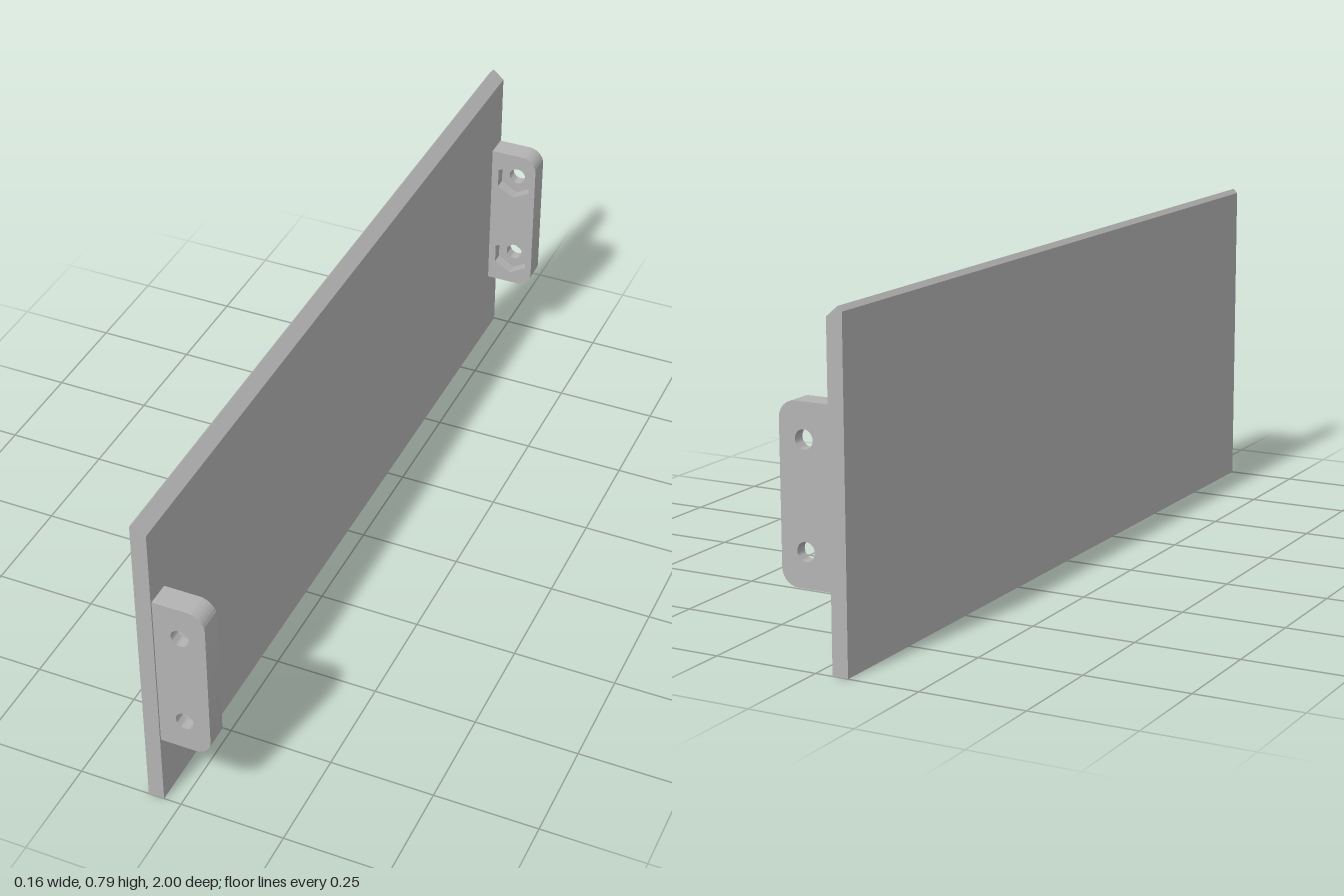
import * as THREE from 'three';
import { toCreasedNormals } from 'three/addons/utils/BufferGeometryUtils.js';

const PANEL_LEFT = -0.08, PANEL_RIGHT = -0.042, TAB_RIGHT = 0.08;
const TAB_BOTTOM = 0.18, TAB_TOP = 0.58, TAB_RADIUS = 0.04;
const HOLE_X = 0.02, HOLE_YS = [0.26, 0.5];

// Solid with a given outline between two z positions
function slab(shape, z0, z1) {
  const geo = new THREE.ExtrudeGeometry(shape, { depth: z1 - z0, bevelEnabled: false, curveSegments: 16 });
  geo.translate(0, 0, z0);
  return toCreasedNormals(geo, 0.6);
}

// Tab outline with rounded free corners
function tabShape() {
  const s = new THREE.Shape();
  s.moveTo(PANEL_RIGHT, TAB_BOTTOM);
  s.lineTo(TAB_RIGHT - TAB_RADIUS, TAB_BOTTOM);
  s.absarc(TAB_RIGHT - TAB_RADIUS, TAB_BOTTOM + TAB_RADIUS, TAB_RADIUS, -Math.PI / 2, 0, false);
  s.absarc(TAB_RIGHT - TAB_RADIUS, TAB_TOP - TAB_RADIUS, TAB_RADIUS, 0, Math.PI / 2, false);
  s.lineTo(PANEL_RIGHT, TAB_TOP);
  s.closePath();
  return s;
}

function roundHole(y) {
  return new THREE.Path().absarc(HOLE_X, y, 0.0215, 0, Math.PI * 2, true);
}

// Hexagon with corners at top and bottom
function hexHole(y) {
  const pts = [];
  for (let i = 0; i < 6; i++) {
    const a = Math.PI / 2 - i * Math.PI / 3;
    pts.push(new THREE.Vector2(HOLE_X + 0.05 * Math.cos(a), y + 0.05 * Math.sin(a)));
  }
  return new THREE.Path(pts);
}

export function createModel() {
  const model = new THREE.Group();
  model.name = 'panelWithMountingTabs';
  const grey = new THREE.MeshStandardMaterial({ color: 0xb3b3b3 });
  grey.name = 'grey';

  const add = (parent, name, geo) => {
    const mesh = new THREE.Mesh(geo, grey);
    mesh.name = name;
    parent.add(mesh);
  };

  // Long panel with a pointed top edge
  const profile = new THREE.Shape([
    [PANEL_LEFT, 0], [PANEL_RIGHT, 0], [PANEL_RIGHT, 0.763], [-0.07, 0.787], [PANEL_LEFT, 0.776],
  ].map(([x, y]) => new THREE.Vector2(x, y)));
  add(model, 'panel', slab(profile, -1, 1));

  // A tab at each end: bolt holes outside, hexagonal nut pockets inside
  for (const side of [1, -1]) {
    const tab = new THREE.Group();
    tab.name = side > 0 ? 'frontTab' : 'backTab';
    const layer = (name, hole, inner, outer) => {
      const shape = tabShape();
      shape.holes = HOLE_YS.map(hole);
      const [z0, z1] = [inner * side, outer * side].sort((a, b) => a - b);
      add(tab, name, slab(shape, z0, z1));
    };
    layer('boltHolePlate', roundHole, 0.968, 0.996);
    layer('nutPocketPlate', hexHole, 0.939, 0.968);
    model.add(tab);
  }
  return model;
}
